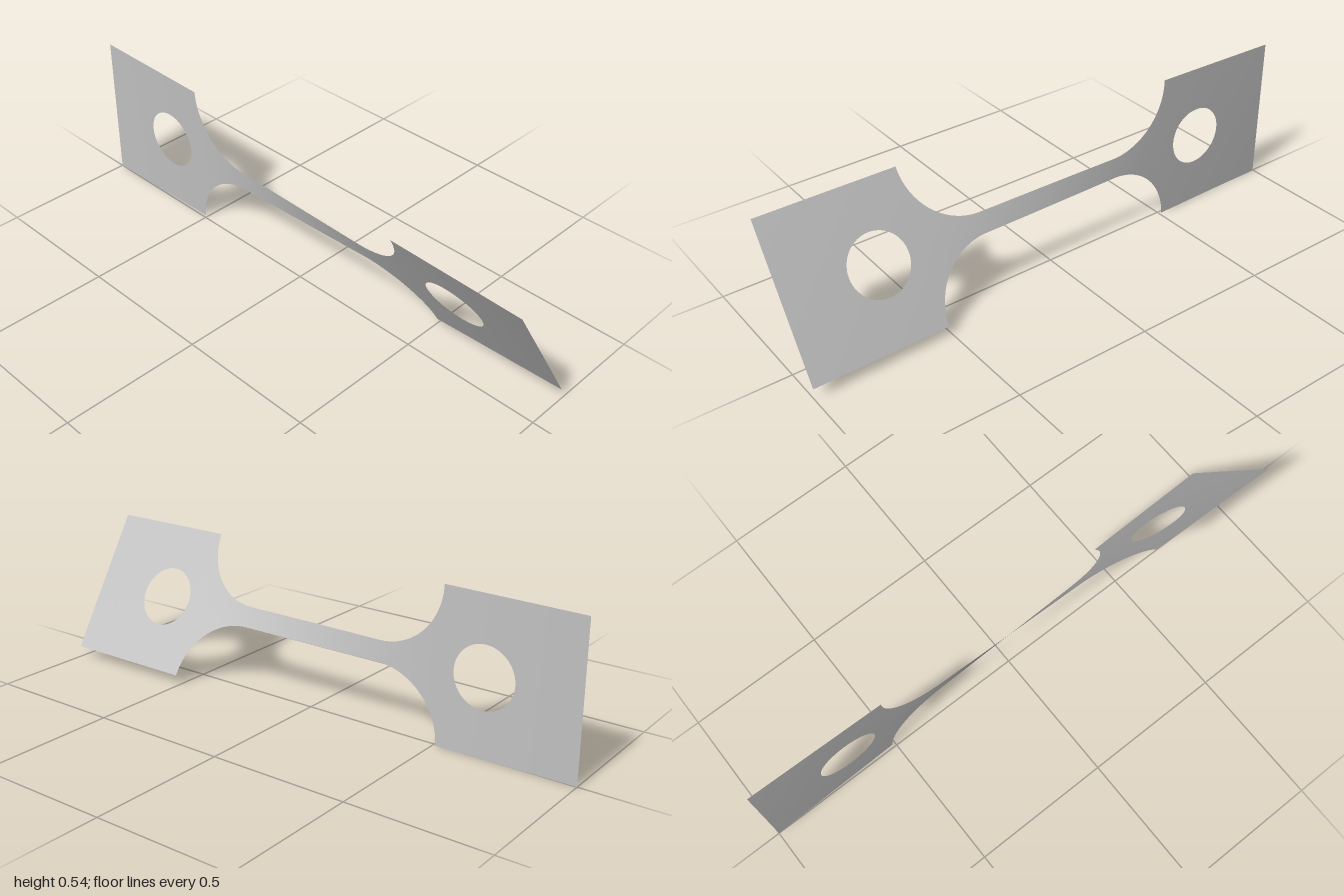
import * as THREE from 'three';

const MID_Y = 0.271, PLATE_HALF = 0.27, NECK_HALF = 0.037;
const PLATE_X = 0.51, FILLET = PLATE_HALF - NECK_HALF, NECK_X = PLATE_X - FILLET;
const HOLE_X = 0.668, HOLE_R = 0.108;
const TWIST = THREE.MathUtils.degToRad(31.8);

// Half width of the strip along its length: plate, quarter-round fillet, neck
function halfWidth(x) {
  const a = Math.abs(x);
  if (a >= PLATE_X) return PLATE_HALF;
  if (a <= NECK_X) return NECK_HALF;
  const d = a - NECK_X;
  return PLATE_HALF - Math.sqrt(Math.max(0, FILLET * FILLET - d * d));
}

// Half height of the round hole at x
function holeHalf(x) {
  const d = Math.abs(x) - HOLE_X;
  return Math.sqrt(Math.max(0, HOLE_R * HOLE_R - d * d));
}

// Twist accumulates fastest where the strip is narrow
const STEPS = 800;
const twistTable = [0];
for (let i = 0; i < STEPS; i++) {
  twistTable.push(twistTable[i] + 1 / halfWidth(-1 + (2 * (i + 0.5)) / STEPS));
}
const twistScale = TWIST / twistTable[STEPS];
function twistAt(x) {
  const t = THREE.MathUtils.clamp((x + 1) / 2, 0, 1) * STEPS;
  const i = Math.min(STEPS - 1, Math.floor(t));
  return THREE.MathUtils.lerp(twistTable[i], twistTable[i + 1], t - i) * twistScale;
}
const twistRate = (x) => (twistScale * STEPS) / 2 / halfWidth(x);

// Stations from a to b, bunched towards the ends where curves are steep
function stations(a, b, n) {
  return Array.from({ length: n + 1 }, (_, i) => a + ((b - a) * (1 - Math.cos((Math.PI * i) / n))) / 2);
}

// Twisted sheet through the given stations, as an upper and a lower band
function twistedSheet(xs, rows = 4) {
  const position = [], normal = [], index = [];
  for (const side of [1, -1]) {
    const start = position.length / 3;
    xs.forEach((x, i) => {
      const inner = side * holeHalf(x), outer = side * halfWidth(x);
      const low = Math.min(inner, outer), high = Math.max(inner, outer);
      const angle = twistAt(x), c = Math.cos(angle), s = Math.sin(angle);
      for (let j = 0; j <= rows; j++) {
        const v = low + ((high - low) * j) / rows;
        position.push(x, v * c, v * s);
        const n = new THREE.Vector3(-v * twistRate(x), -s, c).normalize();
        normal.push(n.x, n.y, n.z);
        if (i < xs.length - 1 && j < rows) {
          const a = start + i * (rows + 1) + j, b = a + rows + 1;
          index.push(a, b, b + 1, a, b + 1, a + 1);
        }
      }
    });
  }
  const geometry = new THREE.BufferGeometry();
  geometry.setAttribute('position', new THREE.Float32BufferAttribute(position, 3));
  geometry.setAttribute('normal', new THREE.Float32BufferAttribute(normal, 3));
  geometry.setIndex(index);
  return geometry;
}

export function createModel() {
  const group = new THREE.Group();
  group.name = 'twistedTestStrip';
  const metal = new THREE.MeshStandardMaterial({ color: 0xc0c0c0, side: THREE.DoubleSide });
  metal.name = 'plain grey metal';

  const add = (name, xs) => {
    const mesh = new THREE.Mesh(twistedSheet(xs), metal);
    mesh.name = name;
    mesh.position.y = MID_Y;
    group.add(mesh);
  };

  // Grip plates with round holes, and the fillets that lead into the neck
  const plate = [
    ...stations(PLATE_X, HOLE_X - HOLE_R, 4),
    ...stations(HOLE_X - HOLE_R, HOLE_X + HOLE_R, 40).slice(1),
    ...stations(HOLE_X + HOLE_R, 1, 8).slice(1),
  ];
  const fillet = stations(NECK_X, PLATE_X, 40);
  const mirrored = (xs) => xs.map((x) => -x).reverse();
  add('leftGripPlate', plate);
  add('rightGripPlate', mirrored(plate));
  add('leftFillet', fillet);
  add('rightFillet', mirrored(fillet));

  // Narrow twisted neck
  add('neck', stations(-NECK_X, NECK_X, 48));
  return group;
}
